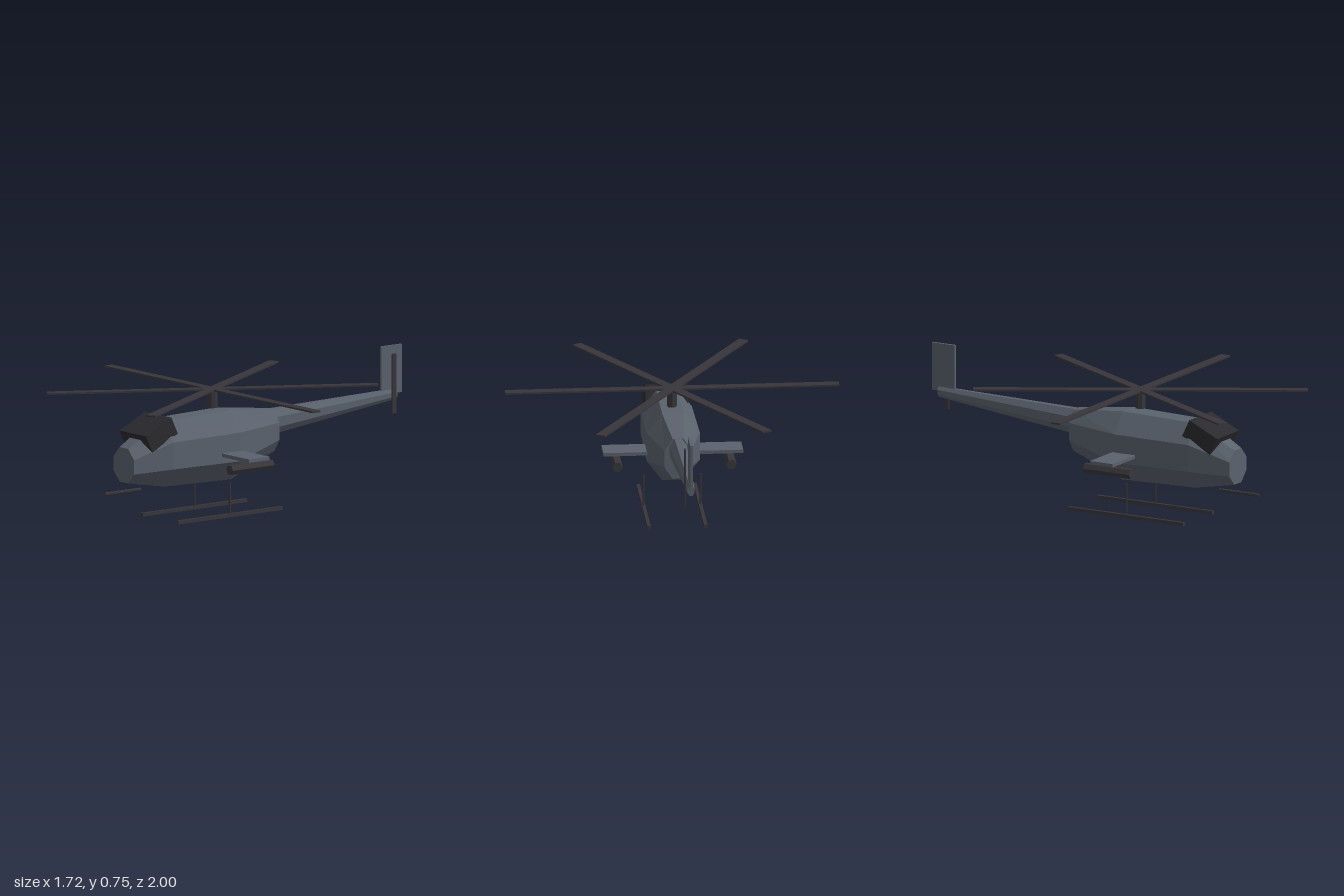
import * as THREE from 'three';

export function createModel() {
  const model = new THREE.Group();
  model.name = 'helicopter';

  const material = (name, color) => {
    const m = new THREE.MeshStandardMaterial({ color, flatShading: true });
    m.name = name;
    return m;
  };
  const hullGrey = material('hullGrey', 0x5a626d);
  const darkMetal = material('darkMetal', 0x38363b);
  const canopyBlack = material('canopyBlack', 0x2b2b2f);

  const add = (name, geometry, mat, x, y, z, parent = model) => {
    const mesh = new THREE.Mesh(geometry, mat);
    mesh.name = name;
    mesh.position.set(x, y, z);
    parent.add(mesh);
    return mesh;
  };
  const box = (name, mat, w, h, d, x, y, z, parent) =>
    add(name, new THREE.BoxGeometry(w, h, d), mat, x, y, z, parent);

  // Octagonal loft through [z, centreY, halfWidth, halfHeight], front to back
  const loft = (sections) => {
    const n = 8, k = 1 / Math.cos(Math.PI / n);
    const rings = sections.map(([z, cy, hw, hh]) =>
      Array.from({ length: n }, (_, i) => {
        const a = ((i + 0.5) / n) * Math.PI * 2;
        return [Math.cos(a) * hw * k, cy + Math.sin(a) * hh * k, z];
      }));
    const centre = ([z, cy]) => [0, cy, z];
    const last = rings.length - 1;
    const pos = [];
    for (let i = 0; i < n; i++) {
      const j = (i + 1) % n;
      pos.push(...centre(sections[0]), ...rings[0][i], ...rings[0][j]);
      for (let s = 0; s < last; s++) {
        const f = rings[s], b = rings[s + 1];
        pos.push(...f[i], ...b[i], ...f[j], ...f[j], ...b[i], ...b[j]);
      }
      pos.push(...centre(sections[last]), ...rings[last][j], ...rings[last][i]);
    }
    const g = new THREE.BufferGeometry();
    g.setAttribute('position', new THREE.Float32BufferAttribute(pos, 3));
    g.computeVertexNormals();
    return g;
  };

  // Body and tail
  add('fuselage', loft([
    [0.82, 0.313, 0.085, 0.09],
    [0.6, 0.355, 0.132, 0.17],
    [0.165, 0.355, 0.137, 0.18],
    [-0.145, 0.393, 0.07, 0.108],
  ]), hullGrey, 0, 0, 0);
  add('tailBoom', loft([
    [-0.1, 0.433, 0.046, 0.067],
    [-0.96, 0.49, 0.018, 0.027],
  ]), hullGrey, 0, 0, 0);
  box('tailFin', hullGrey, 0.014, 0.25, 0.135, 0, 0.62, -0.9325);
  box('tailRotor', darkMetal, 0.008, 0.31, 0.026, 0.028, 0.55, -0.931);

  // Canopy block tilted down toward the nose
  box('canopy', canopyBlack, 0.22, 0.098, 0.184, 0, 0.468, 0.657).rotation.x = 0.45;

  // Chin gun
  const gun = new THREE.CylinderGeometry(0.009, 0.009, 0.235, 6).rotateX(Math.PI / 2);
  add('chinGun', gun, darkMetal, 0, 0.176, 0.828);

  // Main rotor: three full-span bars make six blades
  const rotor = new THREE.Group();
  rotor.name = 'mainRotor';
  rotor.position.set(0, 0, 0.24);
  model.add(rotor);
  add('mast', new THREE.CylinderGeometry(0.026, 0.026, 0.096, 8), darkMetal, 0, 0.598, 0, rotor);
  for (let i = 0; i < 3; i++) {
    box('rotorBlades', darkMetal, 1.72, 0.009, 0.052, 0, 0.647, 0, rotor).rotation.y = i * Math.PI / 3;
  }

  // Stub wings
  box('stubWings', hullGrey, 0.72, 0.018, 0.135, 0, 0.325, 0.218);

  // Weapon pods and landing skids on both sides
  const podShape = new THREE.CylinderGeometry(0.027, 0.027, 0.275, 6)
    .rotateY(Math.PI / 6).rotateX(Math.PI / 2);
  for (const [side, s] of [['left', 1], ['right', -1]]) {
    add(side + 'Pod', podShape, darkMetal, s * 0.293, 0.277, 0.222);
    box(side + 'Skid', darkMetal, 0.018, 0.018, 0.685, s * 0.146, 0.009, 0.2425);
    add(side + 'SkidStrut', new THREE.CylinderGeometry(0.006, 0.006, 0.17, 6),
      darkMetal, s * 0.146, 0.095, 0.242);
  }

  return model;
}
